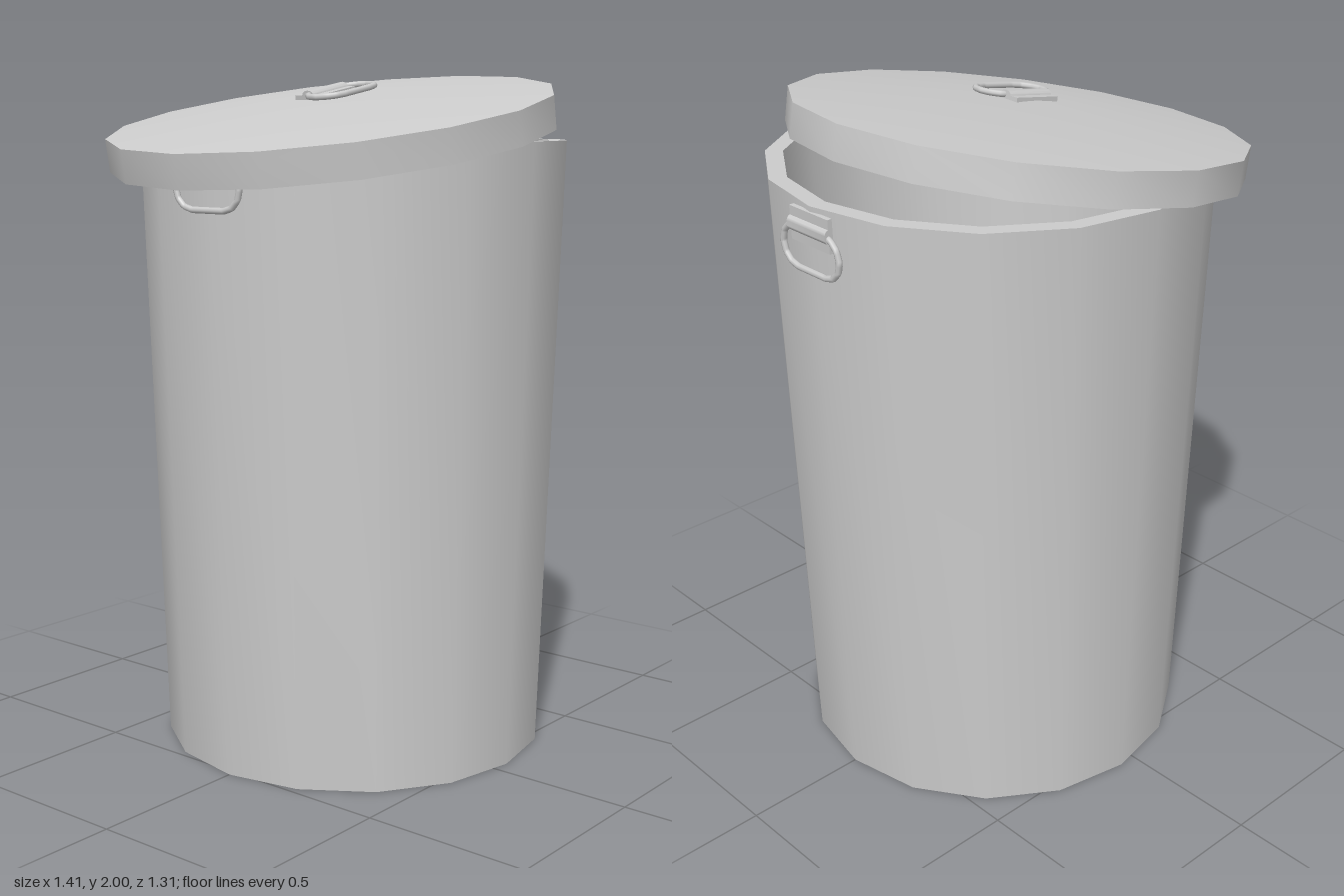
import * as THREE from 'three';
import { toCreasedNormals } from 'three/addons/utils/BufferGeometryUtils.js';

const SIDES = 16;
const material = new THREE.MeshStandardMaterial({ color: 0xcccccc });

function addMesh(parent, name, geometry) {
  const mesh = new THREE.Mesh(geometry, material);
  mesh.name = name;
  parent.add(mesh);
  return mesh;
}

// Sixteen-sided turned shell, smooth around and sharp at its rims
function turned(profile) {
  const points = profile.map(([r, y]) => new THREE.Vector2(r, y));
  return toCreasedNormals(new THREE.LatheGeometry(points, SIDES), 0.6);
}

// Drop handle: x is its width, y points up to the hinge, z faces outward
function makeHandle(name) {
  const handle = new THREE.Group();
  handle.name = name;

  // Oval ring hanging from the bracket
  const path = new THREE.CurvePath();
  const half = 0.058, r = 0.06, steps = 6;
  const points = [];
  for (const side of [1, -1]) {
    for (let i = 0; i <= steps; i++) {
      const a = -Math.PI / 2 + (Math.PI * i) / steps;
      points.push(new THREE.Vector3(side * (half + r * Math.cos(a)), side * r * Math.sin(a), 0));
    }
  }
  points.forEach((p, i) => path.add(new THREE.LineCurve3(p, points[(i + 1) % points.length])));
  const ring = addMesh(handle, 'handleRing', new THREE.TubeGeometry(path, 56, 0.009, 8, true));
  ring.position.set(0, -0.06, 0.006);

  // Bracket plate with a rounded hump over the ring
  const shape = new THREE.Shape();
  shape.moveTo(-0.047, -0.008);
  shape.lineTo(0.047, -0.008);
  shape.lineTo(0.047, 0.006);
  shape.lineTo(0.02, 0.006);
  for (let i = 1; i <= 8; i++) {
    const a = (Math.PI * i) / 8;
    shape.lineTo(0.02 * Math.cos(a), 0.006 + 0.013 * Math.sin(a));
  }
  shape.lineTo(-0.047, 0.006);
  const plate = new THREE.ExtrudeGeometry(shape, { depth: 0.16, bevelEnabled: false });
  plate.translate(0, 0, -0.08);
  // Turn the profile so that it spans y and z and the length runs along x
  plate.applyMatrix4(new THREE.Matrix4().set(
    0, 0, 1, 0,
    1, 0, 0, 0,
    0, 1, 0, 0,
    0, 0, 0, 1));
  addMesh(handle, 'handleBracket', toCreasedNormals(plate, 0.6));
  return handle;
}

export function createModel() {
  const model = new THREE.Group();
  model.name = 'lidded bin';

  // Tapered bin with a thick wall and a flat rim
  const bin = new THREE.Group();
  bin.name = 'bin';
  bin.position.x = 0.054;
  model.add(bin);
  addMesh(bin, 'binBody', turned([
    [0, 0], [0.575, 0], [0.631, 1.805], [0.58, 1.805], [0.527, 0.05], [0, 0.05],
  ]));

  // Side handles
  for (const side of [1, -1]) {
    const handle = makeHandle(side > 0 ? 'leftHandle' : 'rightHandle');
    handle.position.set(side * 0.629, 1.743, 0);
    handle.rotation.set(0.031, (side * Math.PI) / 2, 0, 'YXZ');
    bin.add(handle);
  }

  // Tilted hollow lid with a shallow conical top
  const lid = new THREE.Group();
  lid.name = 'lid';
  lid.position.set(-0.06, 1.888, 0);
  lid.rotation.z = 0.173;
  model.add(lid);
  addMesh(lid, 'lidShell', turned([
    [0, 0.027], [0.625, -0.025], [0.625, -0.097], [0.655, -0.097], [0.655, 0], [0, 0.055],
  ]));
  const lidHandle = makeHandle('lidHandle');
  lidHandle.position.set(-0.012, 0.055, 0);
  lidHandle.rotation.x = -Math.PI / 2;
  lid.add(lidHandle);

  return model;
}
